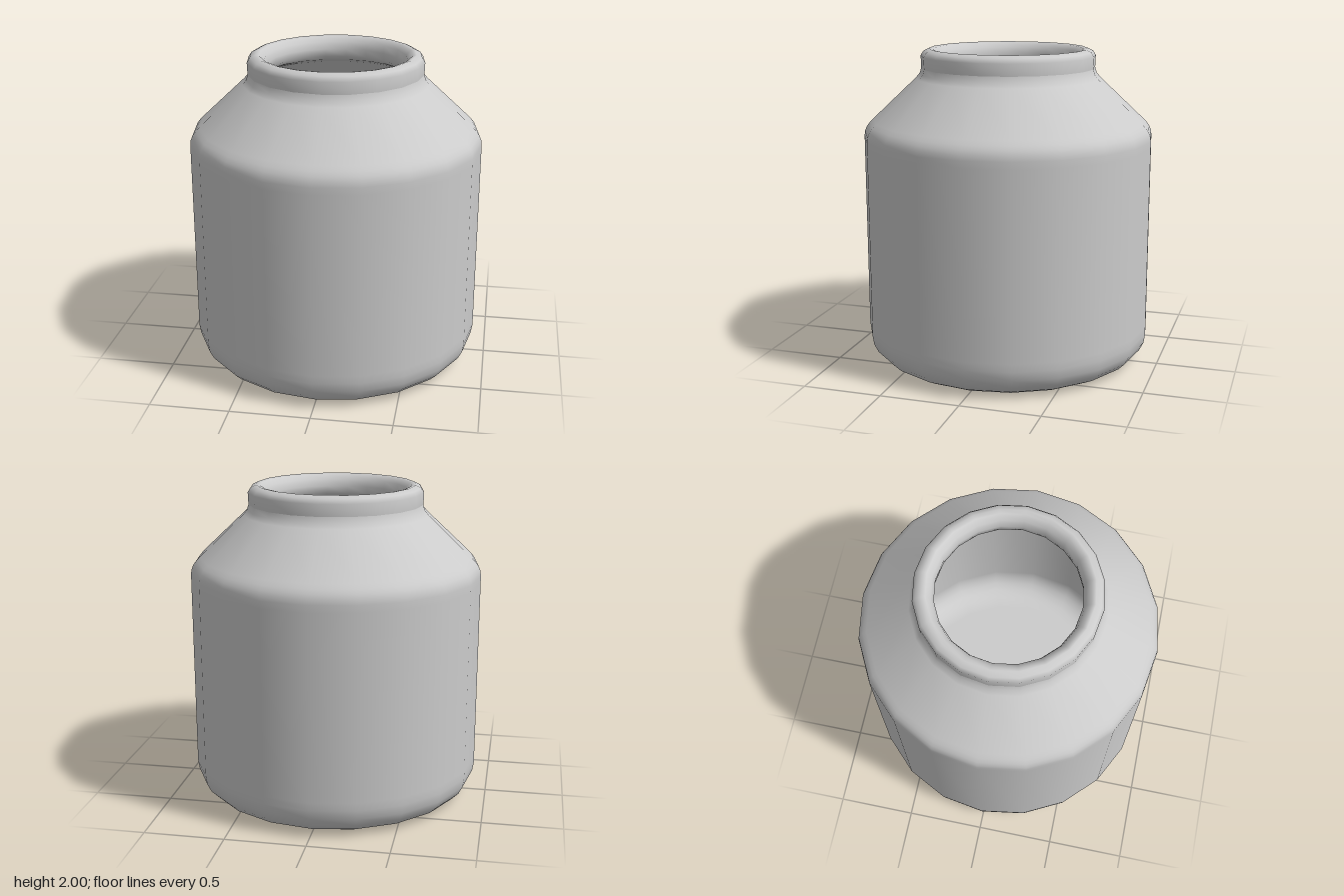
import * as THREE from 'three';

const SIDES = 20;

// Revolve a list of [radius, height] pairs around the y axis
function revolve(name, pairs, material) {
  const points = pairs.map(([r, y]) => new THREE.Vector2(r, y));
  const mesh = new THREE.Mesh(new THREE.LatheGeometry(points, SIDES), material);
  mesh.name = name;
  return mesh;
}

// Points along a circular arc, angles in degrees
function arc(cr, cy, radius, from, to, steps) {
  return Array.from({ length: steps + 1 }, (_, i) => {
    const a = THREE.MathUtils.degToRad(from + ((to - from) * i) / steps);
    return [cr + radius * Math.cos(a), cy + radius * Math.sin(a)];
  });
}

export function createModel() {
  const group = new THREE.Group();
  group.name = 'jar';
  const material = new THREE.MeshStandardMaterial({ color: 0xcccccc, side: THREE.DoubleSide });

  // Flat base, rounded heel, straight wall and sloping shoulder
  const bodyOutside = [
    [0, 0], [0.71, 0],
    ...arc(0.73, 0.19, 0.19, -90, 0, 5),
    [0.92, 0.24], [0.92, 1.4],
    ...arc(0.8, 1.445, 0.12, 0, 45, 3),
    [0.86, 1.555], [0.585, 1.815], [0.56, 1.845], [0.55, 1.88],
  ];
  group.add(revolve('body', bodyOutside, material));

  // Neck band with a rounded lip curling into the mouth
  const lip = [
    [0.55, 1.88], [0.553, 1.955], [0.535, 1.983], [0.5, 2],
    [0.475, 1.995], [0.445, 1.965], [0.43, 1.92], [0.435, 1.87], [0.47, 1.84],
    [0.55, 1.81],
  ];
  group.add(revolve('neckLip', lip, material));

  // Thin inner wall and floor
  const inside = [
    [0.55, 1.81], [0.85, 1.525], [0.885, 1.49], [0.9, 1.44],
    [0.9, 0.22],
    ...arc(0.73, 0.19, 0.17, 0, -90, 5),
    [0.7, 0.02], [0, 0.02],
  ];
  group.add(revolve('innerWall', inside, material));

  return group;
}
